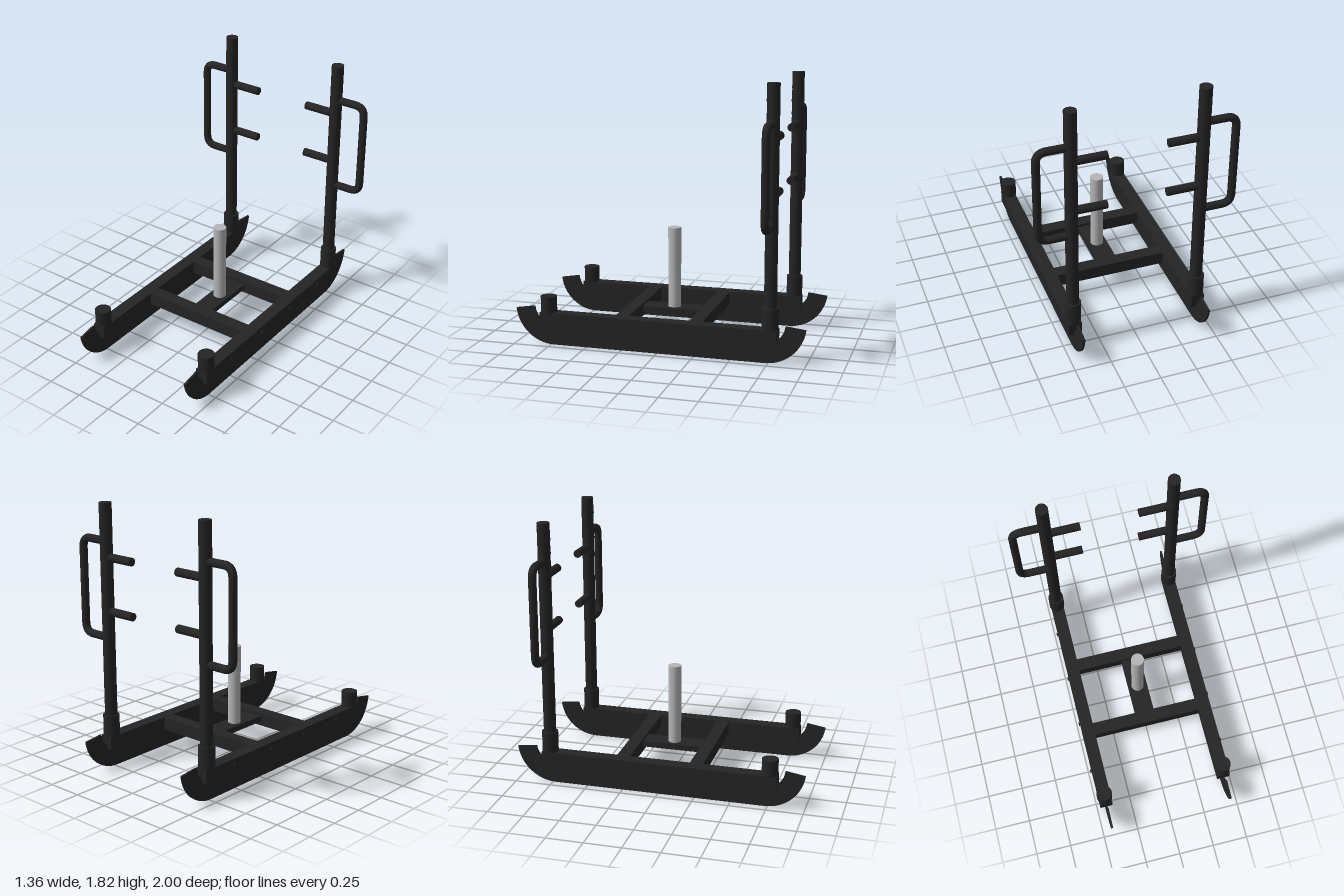
import * as THREE from 'three';

export function createModel() {
  const model = new THREE.Group();
  model.name = 'pushSled';
  const black = new THREE.MeshStandardMaterial({ color: 0x242424 });
  black.name = 'blackSteel';
  const silver = new THREE.MeshStandardMaterial({ color: 0xb6b6b9 });
  silver.name = 'brushedSteel';

  const add = (parent, name, geometry, x, y, z, material = black) => {
    const mesh = new THREE.Mesh(geometry, material);
    mesh.name = name;
    mesh.position.set(x, y, z);
    parent.add(mesh);
    return mesh;
  };
  const box = (w, h, d) => new THREE.BoxGeometry(w, h, d);
  const rod = (r, h, n = 32) => new THREE.CylinderGeometry(r, r, h, n);
  const rodX = (r, h, n = 24) => rod(r, h, n).rotateZ(Math.PI / 2);

  const RAIL_X = 0.435, POST_Z = -0.763;

  // Thin runner plate, upturned at both ends (shape x becomes z)
  const runner = new THREE.Shape();
  const end = -0.11;
  runner.moveTo(-0.73, 0);
  runner.lineTo(0.73, 0);
  runner.absarc(0.73, 0.27, 0.27, -Math.PI / 2, end, false);
  runner.lineTo(0.868, 0.262);
  runner.absarc(0.73, 0.27, 0.135, end, -Math.PI / 2, true);
  runner.lineTo(-0.73, 0.135);
  runner.absarc(-0.73, 0.27, 0.135, -Math.PI / 2, -Math.PI - end, true);
  runner.lineTo(-0.998, 0.24);
  runner.absarc(-0.73, 0.27, 0.27, Math.PI - end, Math.PI * 1.5, false);
  const runnerGeometry = new THREE.ExtrudeGeometry(runner, {
    depth: 0.014, bevelEnabled: false, curveSegments: 20,
  });
  runnerGeometry.translate(0, 0, -0.007).rotateY(-Math.PI / 2);

  // Bent grip path with rounded corners
  const handlePath = (s) => {
    const v = (x, y) => new THREE.Vector3(s * x, y, POST_Z);
    const out = 0.655, top = 1.565, low = 0.912, r = 0.07;
    const path = new THREE.CurvePath();
    path.add(new THREE.LineCurve3(v(RAIL_X, top), v(out - r, top)));
    path.add(new THREE.QuadraticBezierCurve3(v(out - r, top), v(out, top), v(out, top - r)));
    path.add(new THREE.LineCurve3(v(out, top - r), v(out, low + r)));
    path.add(new THREE.QuadraticBezierCurve3(v(out, low + r), v(out, low), v(out - r, low)));
    path.add(new THREE.LineCurve3(v(out - r, low), v(RAIL_X, low)));
    return path;
  };

  for (const [side, s] of [['left', 1], ['right', -1]]) {
    const half = new THREE.Group();
    half.name = side + 'Side';
    model.add(half);
    const x = s * RAIL_X;

    add(half, 'runner', runnerGeometry, x, 0, 0);
    add(half, 'rail', box(0.09, 0.092, 1.63), x, 0.184, 0);
    for (const z of [-0.545, -0.18, 0.18, 0.545]) {
      add(half, 'railBolt', rodX(0.013, 0.014, 12), s * 0.482, 0.184, z);
    }

    // Sockets and upright post
    add(half, 'frontSocket', rod(0.055, 0.11), x, 0.285, 0.763);
    add(half, 'rearSocket', rod(0.055, 0.145), x, 0.3025, POST_Z);
    add(half, 'post', rod(0.042, 1.59), x, 1.025, POST_Z);
    for (const y of [1.53, 1.62, 1.71]) {
      add(half, 'pinHole', rod(0.01, 0.006, 12).rotateX(Math.PI / 2), x, y, POST_Z + 0.041);
    }

    // Outer loop grip and inner pegs
    add(half, 'handle', new THREE.TubeGeometry(handlePath(s), 96, 0.027, 16), 0, 0, 0);
    for (const y of [1.46, 1.095]) {
      add(half, 'innerPeg', rodX(0.028, 0.22), s * 0.31, y, POST_Z);
    }
  }

  // Cross members, centre plate and weight peg
  for (const z of [-0.255, 0.255]) {
    add(model, 'crossbar', box(0.78, 0.09, 0.09), 0, 0.184, z);
  }
  add(model, 'centrePlate', box(0.14, 0.04, 0.42), 0, 0.19, 0);
  add(model, 'weightPeg', rod(0.045, 0.565), 0, 0.4875, 0, silver);

  return model;
}
